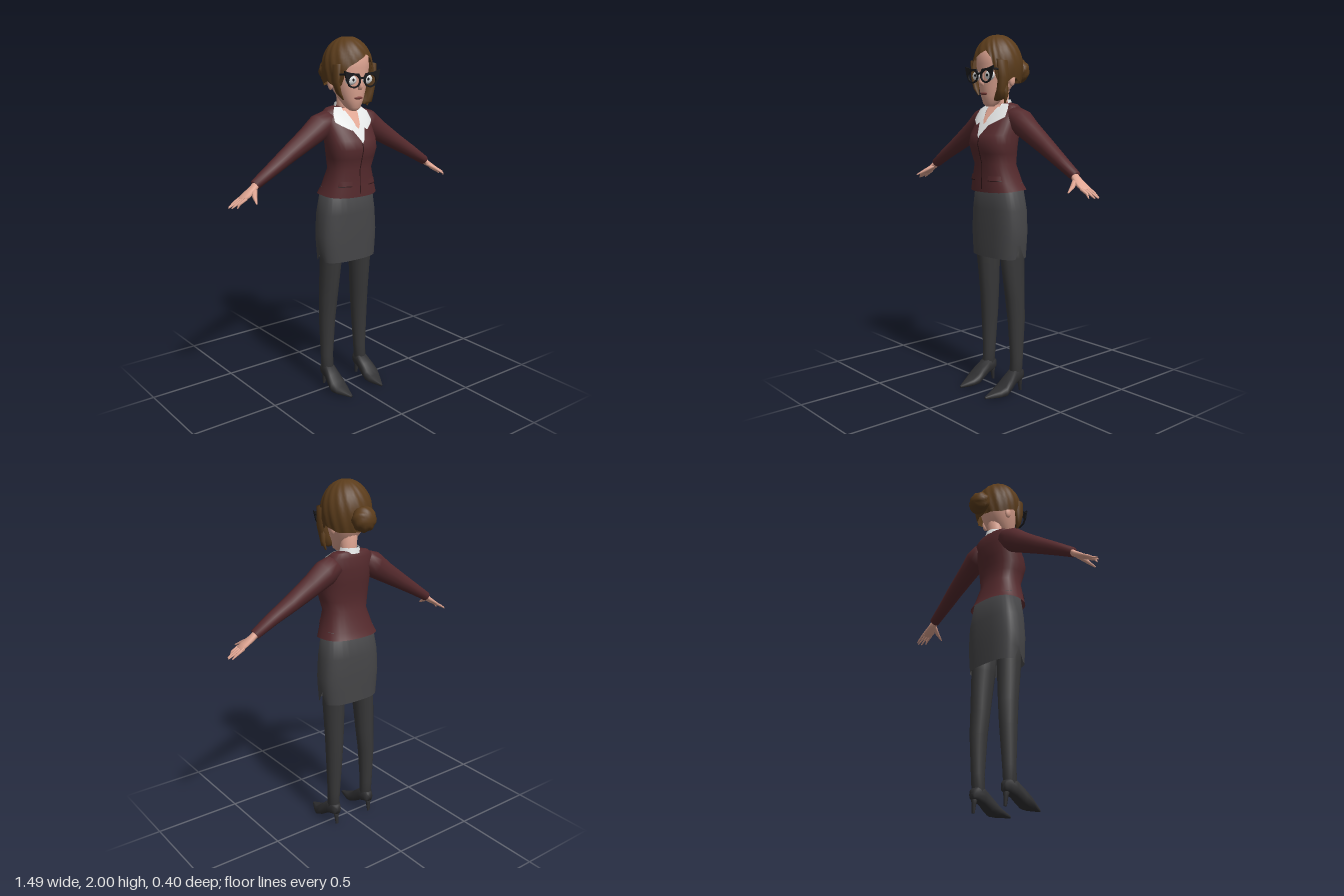
import * as THREE from 'three';

const mat = (name, color) => {
  const m = new THREE.MeshStandardMaterial({ color, side: THREE.DoubleSide });
  m.name = name;
  return m;
};
const V = (x, y, z) => new THREE.Vector3(x, y, z);

// Skin a list of equal-length rings of Vector3, optionally closing the ends
function loft(rings, capStart = true, capEnd = true) {
  const n = rings[0].length, pos = [], idx = [];
  rings.forEach(r => r.forEach(p => pos.push(p.x, p.y, p.z)));
  for (let i = 0; i < rings.length - 1; i++) {
    for (let j = 0; j < n; j++) {
      const a = i * n + j, b = i * n + (j + 1) % n;
      idx.push(a, b, a + n, b, b + n, a + n);
    }
  }
  const cap = (row, flip) => {
    const c = V(0, 0, 0);
    rings[row].forEach(p => c.addScaledVector(p, 1 / n));
    const k = pos.length / 3;
    pos.push(c.x, c.y, c.z);
    for (let j = 0; j < n; j++) {
      const a = row * n + j, b = row * n + (j + 1) % n;
      flip ? idx.push(k, b, a) : idx.push(k, a, b);
    }
  };
  if (capStart) cap(0, true);
  if (capEnd) cap(rings.length - 1, false);
  const g = new THREE.BufferGeometry();
  g.setAttribute('position', new THREE.Float32BufferAttribute(pos, 3));
  g.setIndex(idx);
  g.computeVertexNormals();
  return g;
}

const pw = (v, p) => Math.sign(v) * Math.abs(v) ** p;

// Upright body section rows: [y, half width, front z, back z]
function tower(rows, n, p, capStart, capEnd, adjust) {
  return loft(rows.map(([y, hw, f, b], row) => Array.from({ length: n }, (_, j) => {
    const a = j / n * Math.PI * 2;
    const q = V(hw * pw(Math.sin(a), p), y, (f + b) / 2 + (f - b) / 2 * pw(Math.cos(a), p));
    if (adjust) adjust(q, row, j);
    return q;
  })), capStart, capEnd);
}

// Tapered limb along points [x, y, z, radius u, radius v]
function limb(path, n = 10) {
  const first = V(...path[0]), last = V(...path[path.length - 1]);
  const w = last.sub(first).normalize();
  const ref = Math.abs(w.y) > 0.9 ? V(0, 0, 1) : V(0, 1, 0);
  const u = ref.cross(w).normalize(), v = w.clone().cross(u);
  return loft(path.map(([x, y, z, ru, rv]) => Array.from({ length: n }, (_, j) => {
    const a = j / n * Math.PI * 2;
    return V(x, y, z).addScaledVector(u, ru * Math.cos(a)).addScaledVector(v, rv * Math.sin(a));
  })));
}

function mirror(geo) {
  const g = geo.clone();
  g.scale(-1, 1, 1);
  if (!g.index) g.setIndex([...Array(g.attributes.position.count).keys()]);
  const ix = g.index.array;
  for (let i = 0; i < ix.length; i += 3) [ix[i + 1], ix[i + 2]] = [ix[i + 2], ix[i + 1]];
  g.computeVertexNormals();
  return g;
}

const JACKET = [
  [1.16, 0.172, 0.125, -0.115], [1.2, 0.155, 0.125, -0.095], [1.3, 0.125, 0.122, -0.065],
  [1.36, 0.138, 0.138, -0.063], [1.41, 0.146, 0.152, -0.066], [1.46, 0.146, 0.142, -0.075],
  [1.54, 0.146, 0.09, -0.085], [1.6, 0.142, 0.04, -0.078], [1.625, 0.11, 0.02, -0.068], [1.635, 0.05, 0.0, -0.06],
];
const P = 0.8;

// z of the jacket front at a given x, y
function chestZ(x, y) {
  let i = 0;
  while (i < JACKET.length - 2 && JACKET[i + 1][0] < y) i++;
  const at = ([, hw, f, b]) => {
    const s = Math.min(1, (Math.abs(x) / hw) ** (1 / P));
    return (f + b) / 2 + (f - b) / 2 * Math.sqrt(1 - s * s) ** P;
  };
  const t = (y - JACKET[i][0]) / (JACKET[i + 1][0] - JACKET[i][0]);
  return at(JACKET[i]) * (1 - t) + at(JACKET[i + 1]) * t;
}

// Thin cloth following the chest, rows from the bottom up: [y, x0, x1]
function panel(rows, off, segs = 6) {
  const pos = [], idx = [];
  rows.forEach(([y, x0, x1], r) => {
    for (let k = 0; k <= segs; k++) {
      const x = x0 + (x1 - x0) * k / segs;
      pos.push(x, y, chestZ(x, y) + off);
      if (r && k) {
        const d = r * (segs + 1) + k, b = d - segs - 1;
        idx.push(b - 1, b, d, b - 1, d, d - 1);
      }
    }
  });
  const g = new THREE.BufferGeometry();
  g.setAttribute('position', new THREE.Float32BufferAttribute(pos, 3));
  g.setIndex(idx);
  g.computeVertexNormals();
  return g;
}

// Lower edge of the hair by angle from the front, in degrees toward +x
const HAIRLINE = [[-180, 1.74], [-125, 1.74], [-90, 1.77], [-60, 1.73], [-48, 1.76], [-38, 1.84], [-15, 1.87],
  [18, 1.91], [34, 1.87], [46, 1.76], [58, 1.72], [90, 1.77], [125, 1.74], [180, 1.74]];
function hairline(deg) {
  const i = Math.max(1, HAIRLINE.findIndex(h => h[0] >= deg));
  const [a, ya] = HAIRLINE[i - 1], [b, yb] = HAIRLINE[i];
  return ya + (yb - ya) * (deg - a) / (b - a);
}

function hairCap() {
  const n = 64, rows = 16, rings = [];
  for (let i = 0; i < rows; i++) {
    rings.push(Array.from({ length: n }, (_, j) => {
      const a = j / n * Math.PI * 2, low = hairline(a > Math.PI ? a * 180 / Math.PI - 360 : a * 180 / Math.PI);
      const t = Math.sin(i / (rows - 1) * Math.PI / 2), y = low + (1.996 - low) * t;
      const h = (y - 1.83) / (y > 1.83 ? 0.17 : 0.21);
      const r = Math.sqrt(Math.max(0, 1 - h * h)) * (1 + 0.018 * Math.sin(a * 16 + i * 0.7));
      return V(0.138 * r * Math.sin(a), y, 0.01 + 0.138 * r * Math.cos(a));
    }));
  }
  return loft(rings, false, true);
}

export function createModel() {
  const root = new THREE.Group();
  root.name = 'woman';
  const jacket = mat('burgundy cloth', 0x552a2d), seam = mat('dark burgundy', 0x2e1517);
  const skirt = mat('charcoal cloth', 0x454547), hose = mat('dark stocking', 0x383839), shoe = mat('shoe leather', 0x303032);
  const skin = mat('skin', 0xdfa592), hair = mat('brown hair', 0x5b3c1b), white = mat('white', 0xe2e4e4);
  const black = mat('black', 0x19191c), lip = mat('lips', 0x7c3f3a);

  const add = (name, geo, m) => {
    const mesh = new THREE.Mesh(geo, m);
    mesh.name = name;
    root.add(mesh);
  };
  const pair = (name, geo, m) => {
    add(name + 'Left', geo, m);
    add(name + 'Right', mirror(geo), m);
  };

  // Jacket with front seam and pocket flaps
  add('jacket', tower(JACKET, 28, P, false, true, (q, r) => { if (r === 0 && q.z > 0) q.y -= q.z * 0.1; }), jacket);
  add('jacketOpening', panel([1.165, 1.2, 1.3, 1.36, 1.41, 1.45].map(y => [y, -0.003, 0.003]), 0.003, 1), seam);
  pair('pocketFlap', panel([[1.215, 0.055, 0.125], [1.24, 0.055, 0.12]], 0.009), jacket);
  pair('pocketEdge', panel([[1.21, 0.055, 0.126], [1.215, 0.055, 0.125]], 0.009), seam);

  // Shirt, open neck and collar
  add('shirtFront', panel([[1.445, -0.002, 0.002], [1.46, -0.01, 0.01], [1.54, -0.055, 0.055], [1.57, -0.06, 0.06]], 0.005), white);
  add('openNeck', panel([[1.52, -0.002, 0.002], [1.54, -0.018, 0.018], [1.6, -0.045, 0.045], [1.625, -0.05, 0.05]], 0.009), skin);
  pair('collar', panel([[1.515, 0.045, 0.055], [1.54, 0.018, 0.1], [1.558, 0.02, 0.122], [1.6, 0.036, 0.115], [1.63, 0.046, 0.085]], 0.016), white);
  const band = new THREE.CylinderGeometry(0.056, 0.064, 0.03, 16, 1, true, Math.PI / 2, Math.PI);
  band.translate(0, 1.635, -0.012);
  add('collarBand', band, white);

  // Skirt with side slits
  add('skirt', tower([[0.78, 0.175, 0.095, -0.098], [0.86, 0.182, 0.096, -0.1], [0.93, 0.186, 0.096, -0.102],
    [1.05, 0.178, 0.095, -0.102], [1.2, 0.152, 0.088, -0.085]], 28, 0.72, false, true,
  (q, r, j) => { if (r === 0 && j % 14 === 7) q.y = 0.85; }), skirt);

  // Legs
  pair('leg', limb([[0.1, 0.88, -0.008, 0.062, 0.075], [0.103, 0.78, -0.008, 0.06, 0.073], [0.11, 0.55, -0.022, 0.052, 0.058],
    [0.116, 0.42, -0.028, 0.046, 0.052], [0.12, 0.2, -0.027, 0.036, 0.038], [0.12, 0.09, -0.02, 0.034, 0.038]], 12), hose);

  // Pointed shoes: [z, centre x, half width, bottom y, top y]
  const sole = [[-0.066, 0.12, 0.022, 0.07, 0.125], [-0.045, 0.12, 0.034, 0.065, 0.14], [0.0, 0.12, 0.038, 0.05, 0.14],
    [0.05, 0.123, 0.046, 0.018, 0.1], [0.085, 0.124, 0.052, 0.004, 0.065], [0.12, 0.12, 0.042, 0.002, 0.045], [0.198, 0.111, 0.006, 0.006, 0.02]];
  pair('shoe', loft(sole.map(([z, cx, hw, lo, hi]) => Array.from({ length: 12 }, (_, j) => {
    const a = j / 12 * Math.PI * 2;
    return V(cx + hw * pw(Math.cos(a), 0.7), (lo + hi) / 2 + (hi - lo) / 2 * pw(Math.sin(a), 0.7), z);
  }))), shoe);
  pair('heel', limb([[0.12, 0.1, -0.045, 0.026, 0.022], [0.12, 0.05, -0.052, 0.014, 0.012], [0.12, 0, -0.056, 0.009, 0.007]], 8), shoe);

  // Sleeves
  pair('sleeve', limb([[0.1, 1.565, -0.02, 0.062, 0.055], [0.16, 1.53, -0.02, 0.066, 0.072], [0.24, 1.478, -0.018, 0.056, 0.06],
    [0.37, 1.4, -0.012, 0.047, 0.046], [0.48, 1.335, -0.002, 0.038, 0.036], [0.585, 1.27, 0.003, 0.03, 0.027]], 12), jacket);

  // Hands
  pair('palm', limb([[0.57, 1.278, 0.003, 0.02, 0.018], [0.605, 1.25, 0.008, 0.028, 0.016],
    [0.645, 1.225, 0.014, 0.036, 0.012], [0.672, 1.208, 0.012, 0.034, 0.009]], 10), skin);
  for (let i = 0; i < 4; i++) {
    const z = -0.014 + i * 0.018, end = 0.715 + 0.028 * Math.sin((i + 0.6) * 0.9);
    pair('finger' + (i + 1), limb([[0.66, 1.214, z, 0.009, 0.008], [0.7, 1.192, z + 0.001, 0.008, 0.007],
      [end, 1.172, z + 0.001, 0.004, 0.003]], 6), skin);
  }
  pair('thumb', limb([[0.6, 1.25, 0.018, 0.016, 0.012], [0.625, 1.222, 0.065, 0.013, 0.01], [0.642, 1.198, 0.112, 0.004, 0.004]], 6), skin);

  // Neck and head
  add('neck', limb([[0, 1.57, -0.015, 0.055, 0.048], [0, 1.64, -0.01, 0.046, 0.043], [0, 1.76, -0.01, 0.052, 0.055]], 14), skin);
  add('head', tower([[1.612, 0.018, 0.085, 0.045], [1.63, 0.042, 0.1, 0.02], [1.67, 0.064, 0.11, -0.02], [1.72, 0.085, 0.117, -0.065],
    [1.78, 0.104, 0.12, -0.09], [1.84, 0.114, 0.125, -0.1], [1.9, 0.108, 0.125, -0.1], [1.95, 0.07, 0.09, -0.06]], 24, 0.95, true, true), skin);
  add('nose', limb([[0, 1.8, 0.118, 0.008, 0.006], [0, 1.745, 0.127, 0.013, 0.016], [0, 1.725, 0.118, 0.011, 0.008]], 8), skin);
  const mouth = new THREE.SphereGeometry(1, 12, 8);
  mouth.scale(0.028, 0.008, 0.008).translate(0, 1.682, 0.109);
  add('mouth', mouth, lip);
  const ear = new THREE.SphereGeometry(1, 10, 8);
  ear.scale(0.014, 0.034, 0.02).translate(0.1, 1.755, -0.005);
  pair('ear', ear, skin);

  // Eyes
  const eye = new THREE.SphereGeometry(1, 16, 10);
  eye.scale(0.036, 0.026, 0.016).translate(0.053, 1.778, 0.111);
  pair('eye', eye, white);
  const pupil = new THREE.CircleGeometry(0.008, 12);
  pupil.translate(0.05, 1.779, 0.129);
  pair('pupil', pupil, black);

  // Upswept spectacles
  const rim = new THREE.Shape([[0.01, 1.79], [0.025, 1.812], [0.075, 1.816], [0.118, 1.828], [0.106, 1.78], [0.087, 1.747],
    [0.055, 1.736], [0.027, 1.745], [0.013, 1.765]].map(([x, y]) => new THREE.Vector2(x, y)));
  rim.holes.push(new THREE.Path().absellipse(0.055, 1.774, 0.036, 0.029, 0, Math.PI * 2, true));
  const frame = new THREE.ExtrudeGeometry(rim, { depth: 0.009, bevelEnabled: false, curveSegments: 10 });
  frame.translate(0, 0, 0.136);
  pair('spectacleRim', frame, black);
  const bridge = new THREE.BoxGeometry(0.03, 0.01, 0.009);
  bridge.translate(0, 1.787, 0.14);
  add('spectacleBridge', bridge, black);
  pair('spectacleArm', limb([[0.112, 1.812, 0.14, 0.004, 0.006], [0.122, 1.8, 0.0, 0.004, 0.006]], 6), black);

  // Hair, loose locks and bun
  add('hair', hairCap(), hair);
  add('longLock', limb([[0.112, 1.86, 0.075, 0.024, 0.035], [0.118, 1.77, 0.07, 0.022, 0.036], [0.1, 1.7, 0.068, 0.026, 0.032],
    [0.085, 1.66, 0.07, 0.034, 0.024], [0.06, 1.645, 0.075, 0.012, 0.01]], 10), hair);
  add('lockTip', limb([[0.11, 1.74, 0.06, 0.018, 0.022], [0.12, 1.68, 0.055, 0.013, 0.016], [0.105, 1.632, 0.05, 0.004, 0.005]], 8), hair);
  add('shortLock', limb([[-0.114, 1.86, 0.07, 0.02, 0.035], [-0.121, 1.77, 0.068, 0.015, 0.03], [-0.105, 1.71, 0.075, 0.012, 0.018],
    [-0.08, 1.675, 0.08, 0.004, 0.005]], 10), hair);
  const bun = new THREE.SphereGeometry(1, 28, 18);
  const bp = bun.attributes.position;
  for (let i = 0; i < bp.count; i++) {
    const p = V(0, 0, 0).fromBufferAttribute(bp, i);
    p.multiplyScalar(1 + 0.05 * Math.hypot(p.x, p.y) * Math.sin(Math.atan2(p.y, p.x) * 7 + p.z * 5));
    bp.setXYZ(i, p.x * 0.068, 1.81 + p.y * 0.066, -0.142 + p.z * 0.057);
  }
  bun.computeVertexNormals();
  add('bun', bun, hair);

  return root;
}
